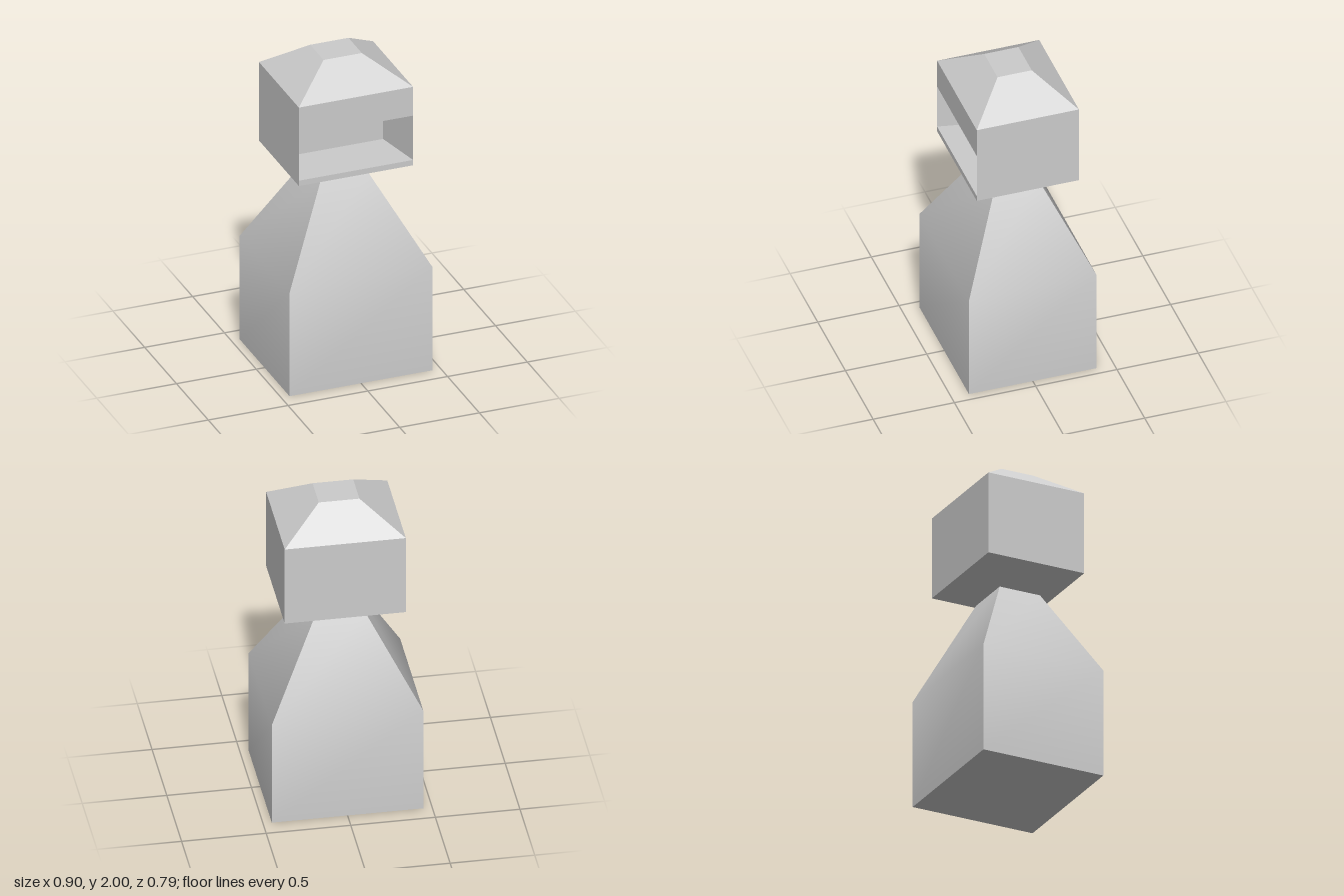
import * as THREE from 'three';
import { toCreasedNormals } from 'three/addons/utils/BufferGeometryUtils.js';

// Corners of a horizontal rectangle, counter-clockwise seen from above
const level = ([y, w, d]) => [[-w, y, d], [w, y, d], [w, y, -d], [-w, y, -d]];

// Corners of an upright rectangle, counter-clockwise seen from the front
const upright = (w, y0, y1, z) => [[-w, y0, z], [w, y0, z], [w, y1, z], [-w, y1, z]];

// Four quads joining two rings of corners
const band = (lo, hi) => lo.map((p, i) => [p, lo[(i + 1) % 4], hi[(i + 1) % 4], hi[i]]);

// Closed stack of rectangles, listed from the bottom up
function stack(levels) {
  const rings = levels.map(level);
  const quads = [[...rings[0]].reverse(), rings[rings.length - 1]];
  for (let i = 0; i < rings.length - 1; i++) quads.push(...band(rings[i], rings[i + 1]));
  return quads;
}

function quadGeometry(quads) {
  const points = quads.flatMap(([a, b, c, d]) => [a, b, c, a, c, d]);
  const geometry = new THREE.BufferGeometry();
  geometry.setAttribute('position', new THREE.Float32BufferAttribute(points.flat(), 3));
  geometry.computeVertexNormals();
  return geometry;
}

export function createModel() {
  const group = new THREE.Group();
  const material = new THREE.MeshStandardMaterial({ color: 0xcccccc });
  const add = (name, geometry) => {
    const mesh = new THREE.Mesh(geometry, material);
    mesh.name = name;
    group.add(mesh);
  };

  // Body: upright block tapering to a neck, softly shaded across the bend
  const body = stack([[0, 0.448, 0.393], [0.675, 0.448, 0.393], [1.225, 0.15, 0.132]]);
  add('body', toCreasedNormals(quadGeometry(body), 0.7));

  // Head: flared underside, straight walls and hipped roof, open at the front
  const w = 0.358, d = 0.314, y0 = 1.355, y1 = 1.645;
  const head = stack([
    [1.225, 0.15, 0.132], [1.32, w, d], [y0, w, d], [y1, w, d], [1.833, w, d], [2, 0.12, 0.105],
  ]);
  const isOpening = (q) => q.every((p) => p[2] === d && p[1] >= y0 && p[1] <= y1);
  add('head', quadGeometry(head.filter((q) => !isOpening(q))));

  // Recess: full-width window narrowing towards its back wall
  const back = upright(0.295, y0, y1, 0);
  add('windowRecess', quadGeometry([...band(upright(w, y0, y1, d), back), back]));

  return group;
}
